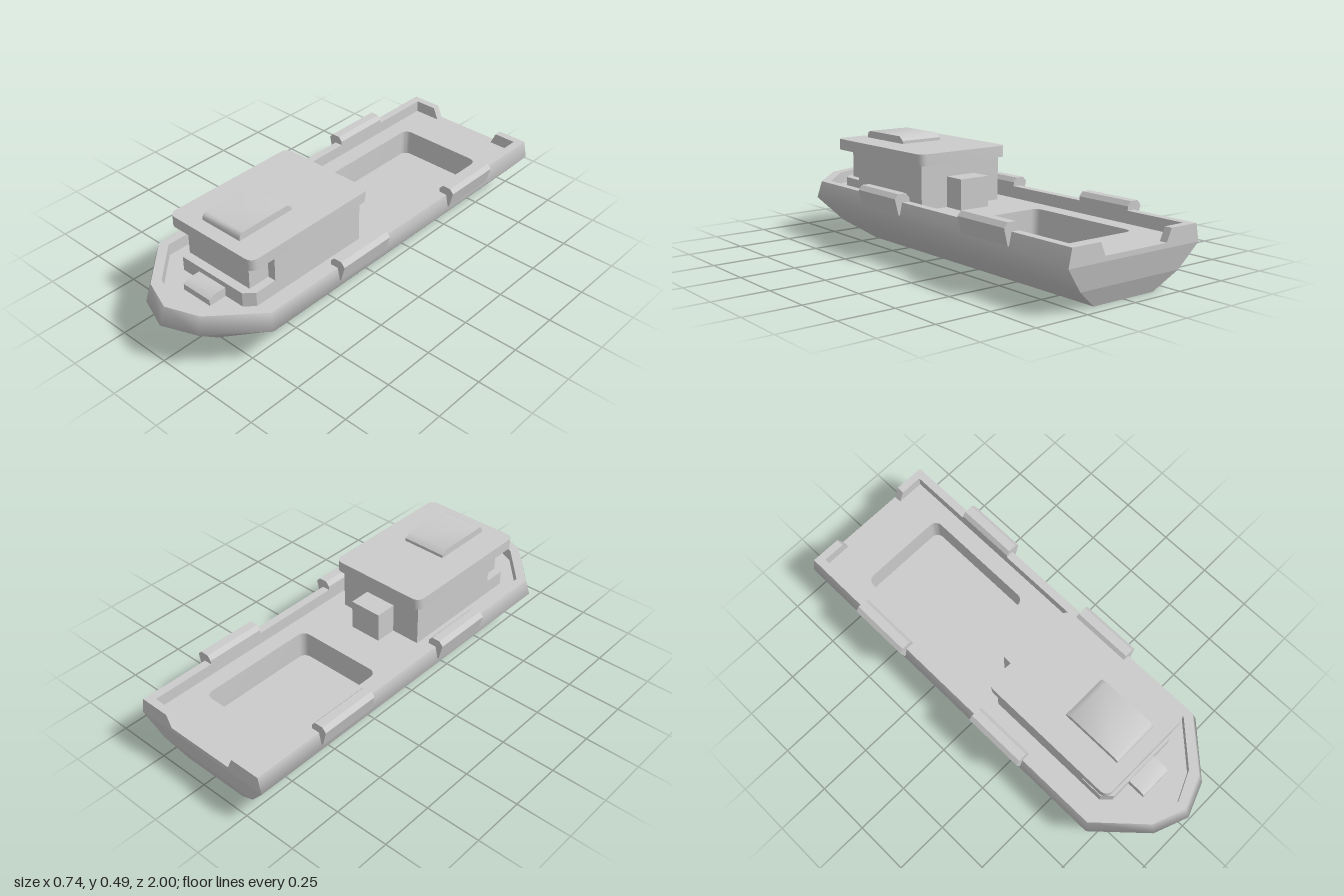
import * as THREE from 'three';
import { toCreasedNormals } from 'three/addons/utils/BufferGeometryUtils.js';

const DECK = 0.207, RAIL = 0.262;
const grey = new THREE.MeshStandardMaterial({ color: 0xcccccc });
const greyBoth = new THREE.MeshStandardMaterial({ color: 0xcccccc, side: THREE.DoubleSide });

// Half outline [x, z] from stern to bow, mirrored into a full run from -x to +x
const mirrorRun = half => [
  ...half.map(([x, z]) => [-x, z]),
  ...half.slice(0, -1).reverse(),
];

// Plan shape from [x, z] points; lies flat after rotating by -90 degrees about x
const planShape = pts => new THREE.Shape(pts.map(([x, z]) => new THREE.Vector2(x, -z)));

function roundedPlan(hw, z0, z1, r) {
  const pts = [];
  const corners = [[hw - r, z1 - r, 0], [-hw + r, z1 - r, 1], [-hw + r, z0 + r, 2], [hw - r, z0 + r, 3]];
  for (const [cx, cz, q] of corners)
    for (let i = 0; i <= 5; i++) {
      const a = (q + i / 5) * Math.PI / 2;
      pts.push([cx + r * Math.cos(a), cz + r * Math.sin(a)]);
    }
  return pts;
}

// Vertical extrusion of a plan outline between two heights
function slab(pts, y0, y1) {
  const g = new THREE.ExtrudeGeometry(planShape(pts), { depth: y1 - y0, bevelEnabled: false });
  g.rotateX(-Math.PI / 2).translate(0, y0, 0);
  return toCreasedNormals(g, 0.6);
}

// Extrusion of an [x, y] section along z
function alongZ(pts, z0, z1) {
  const shape = new THREE.Shape(pts.map(p => new THREE.Vector2(...p)));
  return new THREE.ExtrudeGeometry(shape, { depth: z1 - z0, bevelEnabled: false }).translate(0, 0, z0);
}

// Extrusion of a [z, y] section across the width, centred on x = 0
function acrossX(pts, hw) {
  const g = alongZ(pts.map(([z, y]) => [-z, y]), -hw, hw).rotateY(Math.PI / 2);
  return toCreasedNormals(g, 0.9);
}

export function createModel() {
  const model = new THREE.Group();
  const add = (name, geometry, material = grey) => {
    const mesh = new THREE.Mesh(geometry, material);
    mesh.name = name;
    model.add(mesh);
    return mesh;
  };

  // Hull skin lofted through four waterlines
  const levels = [
    { y: 0, half: [[0.16, -0.94], [0.16, 0.52], [0.08, 0.63], [0, 0.65]] },
    { y: 0.08, half: [[0.265, -0.975], [0.265, 0.64], [0.125, 0.82], [0, 0.86]] },
    { y: 0.185, half: [[0.35, -1], [0.35, 0.73], [0.155, 0.94], [0, 1]] },
    { y: RAIL, half: [[0.333, -1], [0.333, 0.715], [0.148, 0.915], [0, 0.97]] },
  ];
  const rings = levels.map(l => mirrorRun(l.half));
  const n = rings[0].length;
  const pos = [], idx = [];
  rings.forEach((ring, j) => ring.forEach(([x, z], i) => {
    pos.push(x, levels[j].y, z);
    if (j < rings.length - 1 && i < n - 1) {
      const a = j * n + i, b = a + n;
      idx.push(a, a + 1, b, a + 1, b + 1, b);
    }
  }));
  const skin = new THREE.BufferGeometry();
  skin.setAttribute('position', new THREE.Float32BufferAttribute(pos, 3));
  skin.setIndex(idx);
  skin.computeVertexNormals();
  add('hullSides', skin, greyBoth);

  const bottom = new THREE.Shape(rings[0].map(p => new THREE.Vector2(...p)));
  add('hullBottom', new THREE.ShapeGeometry(bottom).rotateX(Math.PI / 2));

  // Stern panels
  const rows = [[0.16, 0, -0.94], [0.265, 0.08, -0.975], [0.35, 0.185, -1], [0.345, DECK, -1]];
  const stern = [];
  for (let j = 0; j < rows.length - 1; j++) {
    const [w, y, z] = rows[j], [W, Y, Z] = rows[j + 1];
    stern.push(w, y, z, -w, y, z, -W, Y, Z, w, y, z, -W, Y, Z, W, Y, Z);
  }
  const sternGeo = new THREE.BufferGeometry();
  sternGeo.setAttribute('position', new THREE.Float32BufferAttribute(stern, 3));
  sternGeo.computeVertexNormals();
  add('stern', sternGeo);

  // Bulwark around the sides and bow
  const inner = mirrorRun([[0.295, -1], [0.295, 0.695], [0.135, 0.868], [0, 0.928]]);
  add('bulwark', slab([...rings[3], ...inner.slice().reverse()], DECK - 0.01, RAIL));

  // Sloped stern corner walls
  for (const s of [1, -1]) {
    const section = [[0.165, DECK], [0.345, DECK], [0.333, RAIL], [0.19, RAIL]];
    add(s > 0 ? 'leftSternWall' : 'rightSternWall',
      alongZ(section.map(([x, y]) => [s * x, y]), -1, -0.965));
  }

  // Deck with the open cargo well
  const well = roundedPlan(0.215, -0.775, -0.2, 0.035);
  const deckShape = planShape(mirrorRun([[0.31, -1], [0.31, 0.7], [0.14, 0.88], [0, 0.94]]));
  deckShape.holes.push(planShape(well));
  add('deck', new THREE.ShapeGeometry(deckShape).rotateX(-Math.PI / 2).translate(0, DECK, 0));

  const floorY = 0.083, wall = [];
  well.forEach(([x, z], i) => {
    const [X, Z] = well[(i + 1) % well.length];
    wall.push(x, floorY, z, X, floorY, Z, X, DECK, Z, x, floorY, z, X, DECK, Z, x, DECK, z);
  });
  const wallGeo = new THREE.BufferGeometry();
  wallGeo.setAttribute('position', new THREE.Float32BufferAttribute(wall, 3));
  add('cargoWellWalls', toCreasedNormals(wallGeo, 0.6), greyBoth);
  add('cargoWellFloor',
    new THREE.ShapeGeometry(planShape(well)).rotateX(-Math.PI / 2).translate(0, floorY, 0));

  // Fenders over the rail, two on each side
  const fender = [[0.295, 0.28], [0.295, 0.255], [0.335, DECK], [0.352, DECK],
    [0.37, 0.28], [0.352, 0.3], [0.312, 0.3]];
  for (const s of [1, -1])
    for (const [place, z0, z1] of [['Front', 0.05, 0.335], ['Rear', -0.67, -0.385]])
      add((s > 0 ? 'left' : 'right') + place + 'Fender',
        alongZ(fender.map(([x, y]) => [s * x, y]), z0, z1));

  // Cabin with a narrower front on a chamfered plinth
  add('cabin', slab(mirrorRun([[0.215, 0.07], [0.215, 0.575], [0.177, 0.575], [0.177, 0.68], [0, 0.68]]), DECK, 0.41));
  add('cabinPlinth', slab(mirrorRun([[0.215, 0.5], [0.215, 0.68], [0.175, 0.72], [0, 0.72]]), DECK, 0.274));
  add('cabinRoof', slab(roundedPlan(0.24, 0.04, 0.72, 0.035), 0.408, 0.459));

  // Roof hatch, bow step and rear locker
  add('roofHatch', acrossX([[0.365, 0.455], [0.365, 0.473], [0.39, 0.492], [0.635, 0.492],
    [0.65, 0.485], [0.656, 0.47], [0.656, 0.455]], 0.107));
  add('bowStep', acrossX([[0.7, DECK], [0.7, 0.25], [0.78, 0.25], [0.805, 0.235], [0.805, DECK]], 0.077));
  add('rearLocker', new THREE.BoxGeometry(0.154, 0.138, 0.13).translate(0, 0.276, 0.035));

  return model;
}
